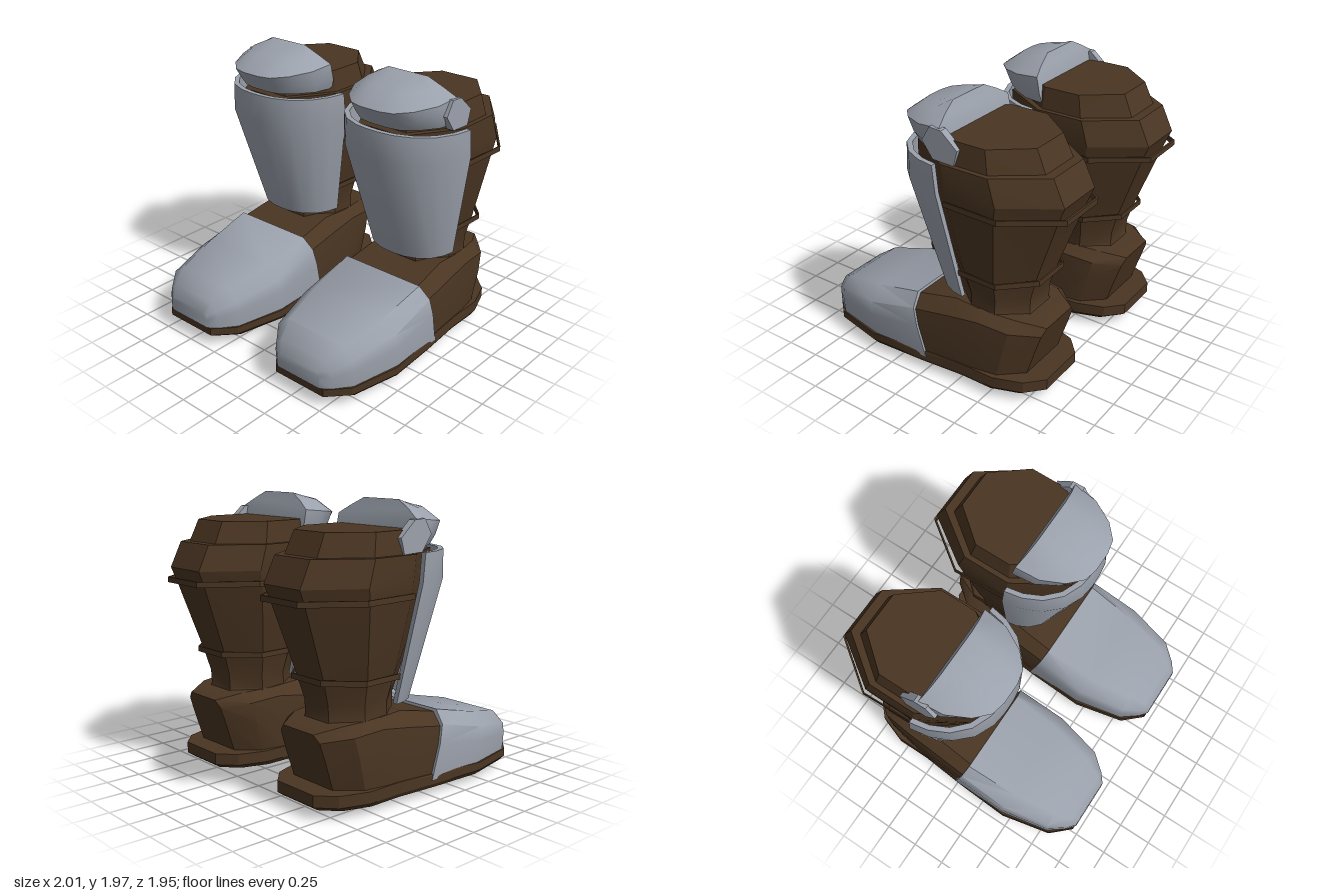
import * as THREE from 'three';
import { toCreasedNormals } from 'three/addons/utils/BufferGeometryUtils.js';

const steel = new THREE.MeshStandardMaterial({ color: 0x9ba1ac });
steel.name = 'steel';
const leather = new THREE.MeshStandardMaterial({ color: 0x4a3522 });
leather.name = 'leather';

// Solid through closed rings of [x, y, z]; end caps are triangulated in axes a, b
function loft(rings, a, b, side, crease) {
  const n = rings[0].length, tris = [];
  for (let r = 0; r < rings.length - 1; r++) {
    for (let i = 0; i < n; i++) {
      const j = (i + 1) % n, p = rings[r], q = rings[r + 1];
      tris.push([p[i], p[j], q[j]], [p[i], q[j], q[i]]);
    }
  }
  [rings[0], rings[rings.length - 1]].forEach((ring, end) => {
    const flat = ring.map(p => new THREE.Vector2(p[a], p[b]));
    const turn = Math.sign(THREE.ShapeUtils.area(flat));
    for (const f of THREE.ShapeUtils.triangulateShape(flat.slice(), [])) {
      const same = Math.sign(THREE.ShapeUtils.area(f.map(i => flat[i]))) === turn;
      const t = f.map(i => ring[i]);
      tris.push(same === (end === 1) ? t : t.reverse());
    }
  });
  // Turn all faces outward, using the enclosed volume
  const v = p => new THREE.Vector3(p[0] * side, p[1], p[2]);
  let volume = 0;
  const pts = tris.map(t => t.map(v));
  for (const [p, q, r] of pts) volume += p.dot(q.clone().cross(r));
  const out = pts.flatMap(t => (volume < 0 ? t.reverse() : t));
  const g = new THREE.BufferGeometry().setFromPoints(out);
  return toCreasedNormals(g, crease);
}

// Closed symmetric outline from its right half
const mirror = half => [...half, ...half.slice().reverse().map(([x, y, z]) => [-x, y, z])];

// Eight-sided leg ring: height, half width, back z, front z
function legRing([y, w, back, front]) {
  const d = front - back;
  return mirror([[w * 0.43, y, back], [w, y, back + d * 0.31],
    [w, y, front - d * 0.35], [w * 0.45, y, front]]);
}

// C-shaped ring open at the back (or front), with a wall thickness
function shellRing(half, thick, open) {
  const outer = [...half, ...half.slice().reverse().map(([x, y, z]) => [-x, y, z])];
  const w = Math.max(...half.map(p => p[0]));
  const inner = outer.map(([x, y, z]) =>
    [x * (1 - thick / w), y, open + (z - open) * (1 - thick / 0.4)]);
  return [...outer, ...inner.reverse()];
}

// Foot cross-section: z at half height, lean, half width, half top width, bottom, shoulder, top
function footRing([z, lean, w, wt, y0, y1, y2]) {
  const at = (x, y) => [x, y, z + lean * (y - 0.34)];
  return mirror([at(w * 0.97, y0), at(w, y0 + (y1 - y0) * 0.65), at(w * 0.97, y1), at(wt, y2)]);
}

// Flat foot outline at height y, scaled about the boot centre
const outline = (pts, y, s = 1) => mirror(pts.map(([x, z]) => [x * s, y, z * s]));

function createBoot(side) {
  const boot = new THREE.Group();
  boot.name = side > 0 ? 'leftBoot' : 'rightBoot';
  boot.position.x = 0.535 * side;
  const add = (name, material, rings, a, b, crease = 0.6) => {
    const mesh = new THREE.Mesh(loft(rings, a, b, side, crease), material);
    mesh.name = name;
    boot.add(mesh);
  };

  // Sole with a chamfered lower edge, heel pad and toe guard beneath
  const solePts = [[0.21, 0.96], [0.34, 0.82], [0.42, 0.45], [0.40, 0.05], [0.37, -0.3],
    [0.37, -0.55], [0.3, -0.75], [0.18, -0.86]];
  const soleTop = outline(solePts, 0.15).map(([x, y, z]) => [x, z < 0.05 ? 0.17 : 0.145, z]);
  add('sole', leather, [outline(solePts, 0.06, 0.95), outline(solePts, 0.09), soleTop], 0, 2, 0.4);
  const heelPts = [[0.2, -0.12], [0.23, -0.3], [0.23, -0.5], [0.15, -0.65]];
  add('heelPad', leather, [outline(heelPts, 0.07, 1.05), outline(heelPts, 0.05)], 0, 2, 0.3);
  add('toeGuard', steel, [
    outline([[0.2, 0.88], [0.3, 0.74], [0.37, 0.42], [0.34, -0.04]], 0.065),
    outline([[0.17, 0.78], [0.25, 0.68], [0.31, 0.4], [0.29, -0.04]], 0.03),
    outline([[0.1, 0.5], [0.16, 0.44], [0.22, 0.3], [0.21, -0.04]], 0.005),
  ], 0, 2, 0.5);

  // Leather foot, heel to instep
  add('foot', leather, [
    [-0.765, -0.32, 0.2, 0.15, 0.14, 0.5, 0.55],
    [-0.6, -0.25, 0.34, 0.24, 0.14, 0.53, 0.59],
    [-0.4, -0.1, 0.37, 0.28, 0.14, 0.55, 0.6],
    [-0.2, 0, 0.38, 0.28, 0.14, 0.52, 0.615],
    [0.08, 0.24, 0.395, 0.3, 0.14, 0.47, 0.55],
  ].map(footRing), 0, 1, 0.55);

  // Steel toe cap
  add('toeCap', steel, [
    [0.045, 0.24, 0.41, 0.32, 0.12, 0.49, 0.575],
    [0.45, 0.1, 0.42, 0.3, 0.12, 0.4, 0.485],
    [0.8, 0, 0.345, 0.24, 0.14, 0.34, 0.413],
    [0.92, 0, 0.25, 0.19, 0.145, 0.28, 0.335],
    [0.97, 0, 0.19, 0.15, 0.15, 0.24, 0.265],
  ].map(footRing), 0, 1, 0.8);

  // Leather leg with a flared calf and stepped collar
  add('leg', leather, [
    [0.54, 0.3, -0.7, -0.1], [0.6, 0.27, -0.675, -0.12], [0.7, 0.27, -0.68, -0.12],
    [0.87, 0.31, -0.73, -0.06], [1.36, 0.395, -0.905, 0.13], [1.47, 0.41, -0.95, 0.16],
    [1.645, 0.4, -0.865, 0.16], [1.645, 0.365, -0.8, 0.1], [1.795, 0.34, -0.73, 0.05],
  ].map(legRing), 0, 2, 0.45);

  // Two thin straps standing off the back of the leg
  for (const [name, y, w, back, corner] of [
    ['upperStrap', 1.365, 0.43, -0.975, -0.63], ['lowerStrap', 0.845, 0.345, -0.765, -0.56]]) {
    const ring = h => shellRing([[w * 0.97, h, -0.22], [w, h, corner], [w * 0.42, h, back]], 0.008, -0.22);
    add(name, leather, [ring(y), ring(y + 0.038)], 0, 2, 0.3);
  }

  // Curved shin plate
  const arc = [[1, 0], [0.95, 0.3], [0.82, 0.6], [0.6, 0.84], [0.32, 0.97], [0.1, 1]];
  add('shinPlate', steel, [[0.68, 0.325, -0.28, 0], [1.47, 0.468, -0.205, 0.25], [1.66, 0.468, -0.185, 0.235]]
    .map(([y, w, back, front]) =>
      shellRing(arc.map(([x, t]) => [x * w, y, back + t * (front - back)]), 0.035, back)), 0, 2, 0.7);

  // Domed knee guard: half width, back z, front z, back y, front y for each ring
  const dome = [[1, 0], [0.95, 0.4], [0.73, 0.75], [0.47, 0.95], [0.2, 1]];
  add('kneeGuard', steel, [
    [0.34, -0.2, 0.18, 1.67, 1.68], [0.365, -0.19, 0.22, 1.74, 1.74], [0.362, -0.165, 0.272, 1.86, 1.815],
    [0.27, -0.14, 0.14, 1.915, 1.915], [0.16, -0.12, -0.08, 1.97, 1.965],
  ].map(([w, back, front, yb, yf]) => mirror(dome.map(([x, t]) =>
    [x * w, yb + (yf - yb) * t, back + (front - back) * t]))), 0, 2, 0.65);

  // Six-sided hinge plate on the outer side of the knee
  const hinge = [[1.76, -0.04], [1.86, -0.1], [1.855, -0.19], [1.75, -0.31], [1.645, -0.28], [1.65, -0.12]];
  add('kneeHinge', steel, [0.325, 0.378].map(x => hinge.map(([y, z]) => [x, y, z])), 1, 2, 0.3);
  return boot;
}

export function createModel() {
  const model = new THREE.Group();
  model.name = 'armouredBoots';
  for (const side of [1, -1]) model.add(createBoot(side));
  return model;
}
